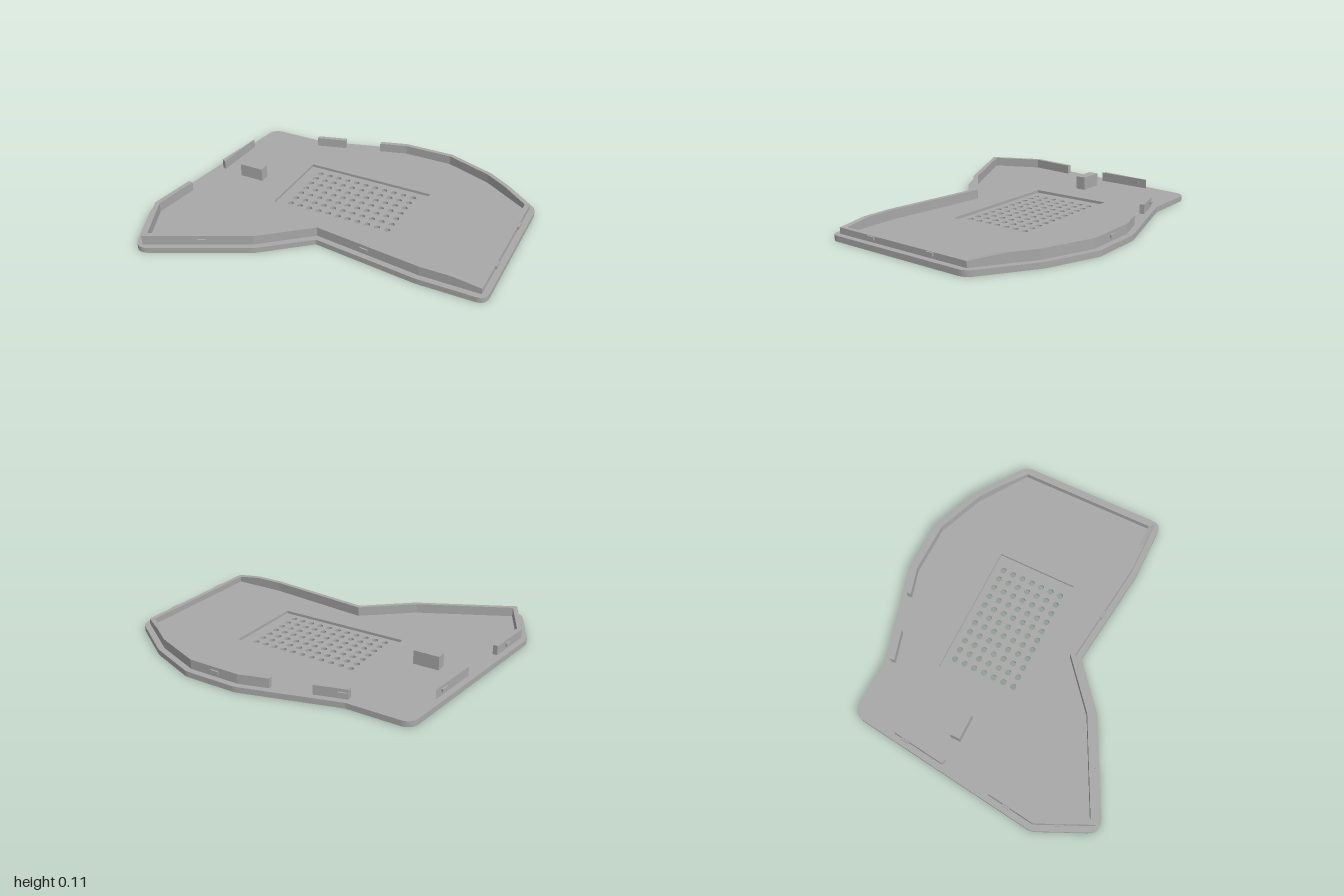
import * as THREE from 'three';

const grey = new THREE.MeshStandardMaterial({ color: 0xa8a8a8 });
grey.name = 'grey plastic';

const SPLIT = 0.016, FLOOR = 0.032;

// Plate corners as x, z, corner rounding
const corners = [
  [-1.0, 0.51, 0.03], [-0.84, 0.855, 0.08], [-0.26, 0.565, 0.02], [0, 0.345, 0.01],
  [0.62, 0.42, 0.02], [1, 0.42, 0.06], [1, -0.497, 0.045], [0.68, -0.71, 0.03],
  [0.38, -0.825, 0.02], [0.06, -0.825, 0.02], [-0.5, -0.665, 0.01], [-0.862, -0.665, 0.065],
];
const N = corners.length;
const vec = (i) => new THREE.Vector2(corners[(i + N) % N][0], corners[(i + N) % N][1]);

// Mitred inward offset of the plate outline
function inset(d) {
  return corners.map((_, i) => {
    const p = vec(i);
    const a = p.clone().sub(vec(i - 1)).normalize();
    const b = vec(i + 1).sub(p).normalize();
    const na = new THREE.Vector2(a.y, -a.x), nb = new THREE.Vector2(b.y, -b.x);
    return p.addScaledVector(na.clone().add(nb), d / (1 + na.dot(nb)));
  });
}
const outer = inset(0.035), inner = inset(0.062);

// Wall station on an edge where the given axis reaches a value
function on(edge, axis, value) {
  const j = (edge + 1) % N;
  const t = (value - outer[edge][axis]) / (outer[j][axis] - outer[edge][axis]);
  return [outer[edge].clone().lerp(outer[j], t), inner[edge].clone().lerp(inner[j], t)];
}
const corner = (i) => [outer[i], inner[i]];

// The rim drops towards the +x side
const rimHeight = (x) => 0.087 - 0.021 * THREE.MathUtils.clamp((x - 0.8) / 0.135, 0, 1);

// Wall swept through stations of [outer point, inner point]
function wall(stations) {
  const rings = stations.map(([o, i]) => [
    [o.x, FLOOR, o.y], [o.x, rimHeight(o.x), o.y], [i.x, rimHeight(i.x), i.y], [i.x, FLOOR, i.y],
  ]);
  const pos = [];
  const quad = (a, b, c, d) => pos.push(...a, ...b, ...c, ...a, ...c, ...d);
  for (let i = 0; i < rings.length - 1; i++) {
    for (let k = 0; k < 4; k++) {
      const m = (k + 1) % 4;
      quad(rings[i][k], rings[i + 1][k], rings[i + 1][m], rings[i][m]);
    }
  }
  const [s, e] = [rings[0], rings[rings.length - 1]];
  quad(s[0], s[1], s[2], s[3]);
  quad(e[3], e[2], e[1], e[0]);
  const g = new THREE.BufferGeometry();
  g.setAttribute('position', new THREE.Float32BufferAttribute(pos, 3));
  g.computeVertexNormals();
  return g;
}

// Rounded plate outline; shape y is -z
function plateShape() {
  const s = new THREE.Shape();
  for (let i = 0; i < N; i++) {
    const p = vec(i), r = corners[i][2];
    const a = p.clone().addScaledVector(vec(i - 1).sub(p).normalize(), r);
    const b = p.clone().addScaledVector(vec(i + 1).sub(p).normalize(), r);
    if (i === 0) s.moveTo(a.x, -a.y); else s.lineTo(a.x, -a.y);
    s.quadraticCurveTo(p.x, -p.y, b.x, -b.y);
  }
  s.closePath();
  return s;
}

function addCircle(shape, x, z, r) {
  const h = new THREE.Path();
  h.absarc(x, -z, r, 0, Math.PI * 2, true);
  shape.holes.push(h);
}

function slab(shape, y0, y1) {
  const g = new THREE.ExtrudeGeometry(shape, { depth: y1 - y0, bevelEnabled: false, curveSegments: 20 });
  return g.rotateX(-Math.PI / 2).translate(0, y0, 0);
}

export function createModel() {
  const model = new THREE.Group();
  model.name = 'caseBottom';
  const add = (name, geometry) => {
    const mesh = new THREE.Mesh(geometry, grey);
    mesh.name = name;
    model.add(mesh);
    return mesh;
  };

  // Lower layer: vent holes and round foot recesses
  const lower = plateShape();
  for (let i = 0; i < 11; i++) {
    for (let j = 0; j < 7; j++) addCircle(lower, -0.32 + i * 0.0624, -0.312 + j * 0.0627, 0.0175);
  }
  const feet = [[0.88, -0.43], [0.225, -0.72], [0.89, 0.315], [-0.765, -0.565], [-0.79, 0.69]];
  for (const [x, z] of feet) addCircle(lower, x, z, 0.073);
  add('basePlate', slab(lower, 0, SPLIT));

  // Upper layer: rectangular recess over the vents
  const upper = plateShape();
  const recess = new THREE.Path();
  recess.moveTo(-0.405, 0.37);
  recess.lineTo(0.39, 0.37);
  recess.lineTo(0.39, -0.115);
  recess.lineTo(-0.405, -0.115);
  recess.closePath();
  upper.holes.push(recess);
  add('floorPlate', slab(upper, SPLIT, FLOOR));

  // Long rim wall, with stations where the height starts to drop
  add('rimWall', wall([
    on(11, 'y', 0.22), ...[0, 1, 2, 3, 4].map(corner), on(4, 'x', 0.8), corner(5),
    corner(6), on(6, 'x', 0.8), ...[7, 8, 9].map(corner), on(9, 'x', -0.1),
  ]));

  // Short separate rim pieces
  add('rearRimPiece', wall([on(9, 'x', -0.32), on(9, 'x', -0.498)]));
  const tip = on(11, 'y', -0.4)[0];
  add('sideRimPiece', wall([[tip, tip], on(11, 'y', -0.085)]));

  // Snap clips along the outside of the rim
  const clips = [
    [0, 'x', -0.905], [1, 'x', -0.53], [3, 'x', 0.29], [5, 'y', 0.15], [5, 'y', -0.25],
    [8, 'x', 0.21], [9, 'x', -0.47], [11, 'y', -0.325], [11, 'y', 0.335],
  ];
  for (const [edge, axis, value] of clips) {
    const p = on(edge, axis, value)[0];
    const d = outer[(edge + 1) % N].clone().sub(outer[edge]);
    const clip = add('snapClip', new THREE.BoxGeometry(0.047, 0.018, 0.018));
    clip.position.set(p.x, edge === 5 ? 0.055 : 0.06, p.y);
    clip.rotation.y = Math.atan2(-d.y, d.x);
  }

  // Support block
  const block = add('supportBlock', new THREE.BoxGeometry(0.15, 0.08, 0.06));
  block.position.set(-0.663, 0.071, -0.083);

  return model;
}
